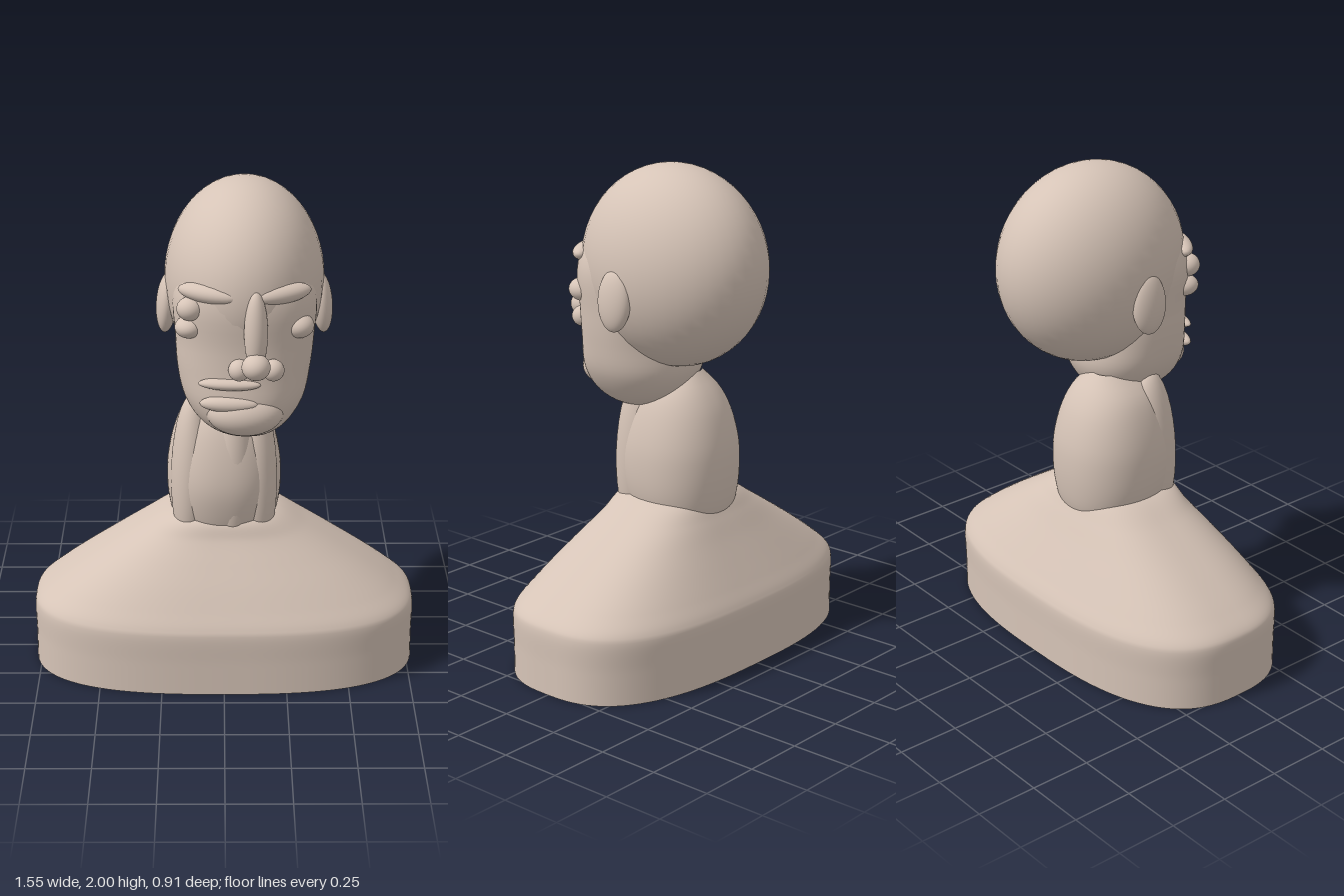
import * as THREE from 'three';

const clay = new THREE.MeshStandardMaterial({ color: 0xd6c4b7 });
clay.name = 'clay';

// Smooth stack of superellipse rings: [y, centreX, centreZ, radiusX, radiusZ], exponent n
function loft(rings, n = 2, steps = 24, around = 72) {
  const mid = new THREE.CatmullRomCurve3(rings.map(r => new THREE.Vector3(r[1], r[0], r[2])));
  const rad = new THREE.CatmullRomCurve3(rings.map(r => new THREE.Vector3(r[3], r[0], r[4])));
  const pos = [], index = [];
  const bend = v => Math.sign(v) * Math.abs(v) ** (2 / n);
  for (let i = 0; i <= steps; i++) {
    const c = mid.getPoint(i / steps), r = rad.getPoint(i / steps);
    for (let j = 0; j < around; j++) {
      const a = j / around * Math.PI * 2;
      pos.push(c.x + r.x * bend(Math.cos(a)), r.y, c.z + r.z * bend(Math.sin(a)));
      if (i === steps) continue;
      const p = i * around + j, q = i * around + (j + 1) % around;
      index.push(p, p + around, q, q, p + around, q + around);
    }
  }
  const g = new THREE.BufferGeometry();
  g.setAttribute('position', new THREE.Float32BufferAttribute(pos, 3));
  g.setIndex(index);
  g.computeVertexNormals();
  return g;
}

export function createModel() {
  const model = new THREE.Group();
  model.name = 'bust';

  function add(parent, name, geometry) {
    const mesh = new THREE.Mesh(geometry, clay);
    mesh.name = name;
    parent.add(mesh);
    return mesh;
  }
  function ball(parent, name, centre, radii, rotation = [0, 0, 0]) {
    const mesh = add(parent, name, new THREE.SphereGeometry(1, 40, 28));
    mesh.position.set(...centre);
    mesh.scale.set(...radii);
    mesh.rotation.set(...rotation);
  }
  // Fleshy ridge: an ellipsoid stretched between two points
  function ridge(parent, name, from, to, ry, rz) {
    const a = new THREE.Vector3(...from), b = new THREE.Vector3(...to);
    const mesh = add(parent, name, new THREE.SphereGeometry(1, 32, 20));
    mesh.position.copy(a).add(b).multiplyScalar(0.5);
    mesh.scale.set(a.distanceTo(b) / 2, ry, rz);
    mesh.quaternion.setFromUnitVectors(new THREE.Vector3(1, 0, 0), b.sub(a).normalize());
  }

  // Base: upright wall rounding into sloping shoulders, grooved around the underside
  const base = new THREE.Group();
  base.name = 'base';
  model.add(base);
  add(base, 'plinthAndShoulders', loft([
    [0, 0, 0.005, 0.775, 0.427], [0.13, 0, 0.005, 0.775, 0.427], [0.255, 0, 0.005, 0.775, 0.427],
    [0.28, 0, 0.005, 0.765, 0.418], [0.34, 0, 0.005, 0.695, 0.383], [0.42, 0, 0.005, 0.585, 0.335],
    [0.5, 0, 0.003, 0.465, 0.285], [0.58, 0, 0, 0.34, 0.236], [0.65, 0, 0.005, 0.228, 0.195],
    [0.68, 0, 0, 0.12, 0.12]], 2.7, 72, 96));
  add(base, 'underside', loft([
    [0.02, 0, 0.005, 0.001, 0.001], [0.03, 0, 0.005, 0.35, 0.19], [0.06, 0, 0.005, 0.57, 0.31],
    [0.1, 0, 0.005, 0.69, 0.38], [0.1, 0, 0.005, 0.745, 0.41], [0, 0, 0.005, 0.775, 0.427]], 2.7, 40, 96));

  // Neck: main column with throat and side muscles
  const neck = new THREE.Group();
  neck.name = 'neck';
  model.add(neck);
  add(neck, 'neckColumn', loft([
    [0.52, 0, -0.02, 0.16, 0.17], [0.6, 0, -0.015, 0.2, 0.21], [0.68, 0, -0.01, 0.222, 0.23],
    [0.78, 0, -0.005, 0.23, 0.241], [0.88, 0, -0.005, 0.224, 0.234], [1.0, 0, -0.003, 0.195, 0.204],
    [1.08, 0, 0, 0.157, 0.165], [1.16, 0, 0, 0.08, 0.1]], 2.2));
  ridge(neck, 'throat', [0.03, 0.5, 0.14], [0.04, 1.2, 0.11], 0.09, 0.1);
  for (const s of [-1, 1]) {
    ridge(neck, 'neckMuscle', [s * 0.14, 0.5, 0.115], [s * 0.12, 1.16, 0.085], 0.082, 0.095);
  }

  // Head: large skull, tapering face and jaw
  const head = new THREE.Group();
  head.name = 'head';
  model.add(head);
  ball(head, 'skull', [0.08, 1.6, -0.05], [0.315, 0.4, 0.402]);
  add(head, 'faceAndJaw', loft([
    [1.018, 0.09, 0.11, 0.001, 0.001], [1.03, 0.088, 0.115, 0.1, 0.11], [1.09, 0.08, 0.12, 0.18, 0.195],
    [1.18, 0.078, 0.115, 0.235, 0.23], [1.3, 0.077, 0.115, 0.26, 0.222], [1.42, 0.08, 0.115, 0.27, 0.22],
    [1.6, 0.08, 0.12, 0.275, 0.22], [1.76, 0.08, 0.08, 0.2, 0.2], [1.85, 0.08, 0.05, 0.05, 0.05]], 2.15, 40));
  ball(head, 'chin', [0.08, 1.15, 0.27], [0.15, 0.09, 0.11]);
  for (const s of [-1, 1]) {
    ball(head, 'ear', [0.08 + s * 0.305, 1.505, -0.01], [0.042, 0.122, 0.077], [0, 0, s * 0.08]);
  }

  // Brows and eyes
  ridge(head, 'rightBrow', [-0.175, 1.64, 0.225], [0.06, 1.63, 0.33], 0.038, 0.05);
  ridge(head, 'leftBrow', [0.11, 1.63, 0.33], [0.33, 1.64, 0.23], 0.038, 0.05);
  ball(head, 'rightEyeball', [-0.13, 1.57, 0.265], [0.052, 0.046, 0.05]);
  ball(head, 'rightEyePouch', [-0.135, 1.49, 0.245], [0.055, 0.042, 0.06]);
  ball(head, 'leftEyePouch', [0.285, 1.495, 0.24], [0.06, 0.048, 0.065]);

  // Nose
  ridge(head, 'noseBridge', [0.12, 1.66, 0.34], [0.12, 1.34, 0.36], 0.045, 0.05);
  ball(head, 'noseTip', [0.12, 1.38, 0.397], [0.055, 0.05, 0.058]);
  for (const s of [-1, 1]) {
    ball(head, 'nostril', [0.122 + s * 0.065, 1.35, 0.345], [0.042, 0.042, 0.045]);
  }

  // Lips
  ridge(head, 'upperLip', [-0.1, 1.285, 0.31], [0.14, 1.285, 0.335], 0.024, 0.036);
  ridge(head, 'lowerLip', [-0.095, 1.205, 0.315], [0.13, 1.205, 0.34], 0.032, 0.036);

  return model;
}
